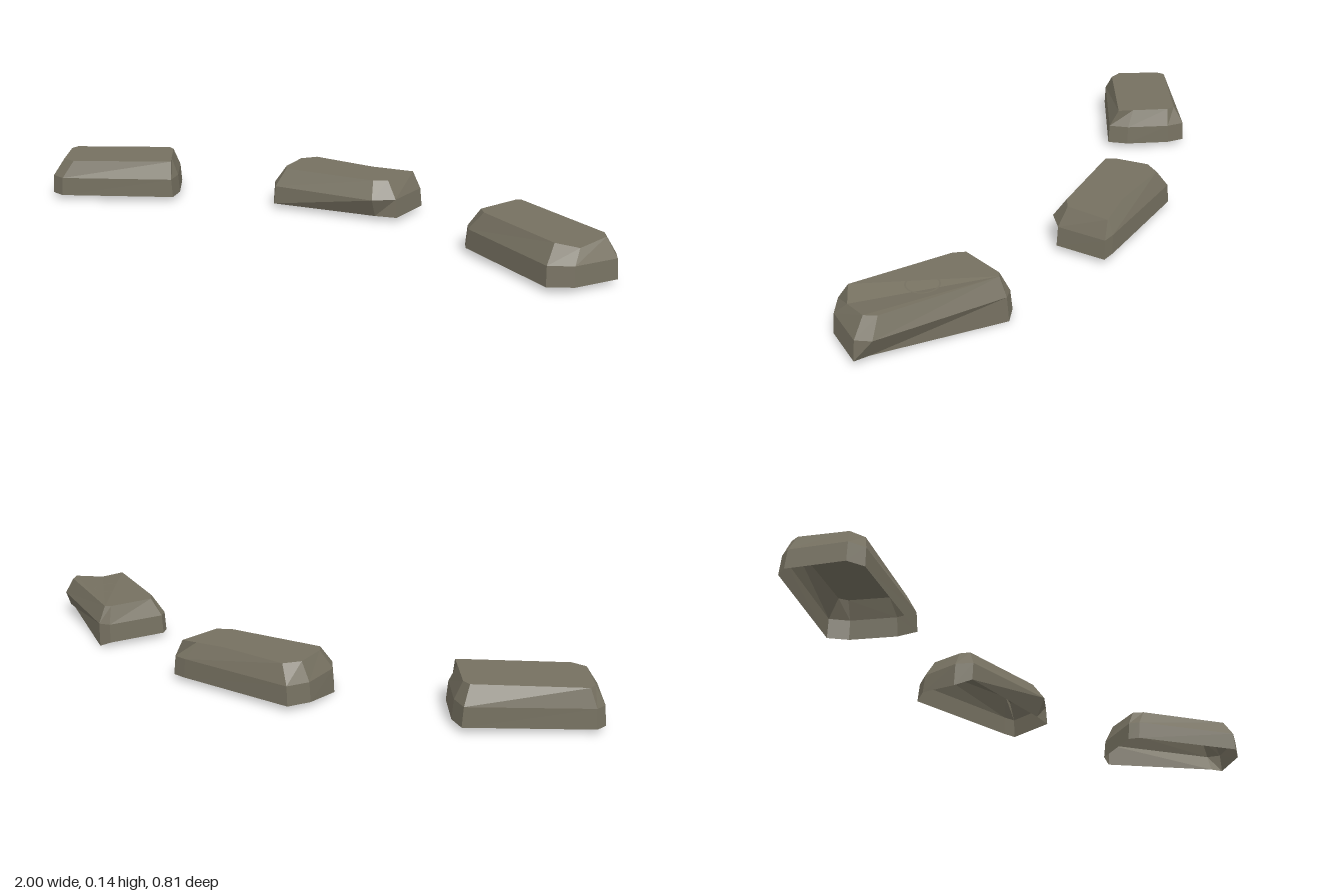
import * as THREE from 'three';

const stoneMaterial = new THREE.MeshStandardMaterial({
  color: 0x757060, flatShading: true, side: THREE.DoubleSide,
});
const BASE_Y = 0.016, MID_Y = 0.078, TOP_Y = 0.135;

// Each outline runs counter-clockwise seen from above: [x, z] or [x, z, y].
const stones = [
  {
    name: 'rightStone', mark: [-0.78, 0.165, 0.04], cross: false, fan: 0,
    foot: [[-1, 0.23], [-1, 0.27], [-0.88, 0.4], [-0.825, 0.4], [-0.53, 0.14], [-0.565, 0.08], [-0.675, -0.02], [-0.735, -0.045]],
    top: [[-0.97, 0.225], [-0.965, 0.255], [-0.86, 0.36], [-0.81, 0.355], [-0.56, 0.12], [-0.6, 0.085], [-0.695, 0], [-0.725, -0.005]],
    baseMoves: {},
  },
  {
    name: 'middleStone', mark: [-0.07, -0.235, 0.045], cross: true, fan: 0,
    foot: [[-0.31, -0.235], [-0.27, -0.1], [-0.225, -0.06], [0.13, -0.17], [0.18, -0.235], [0.15, -0.4], [0.105, -0.395], [-0.29, -0.31]],
    top: [[-0.27, -0.235], [-0.235, -0.13], [-0.21, -0.105], [0.1, -0.205], [0.135, -0.24], [0.12, -0.385], [0.08, -0.35], [-0.245, -0.29]],
    baseMoves: { 1: [-0.27, -0.1, 0], 3: [0.115, -0.2, BASE_Y] },
  },
  {
    name: 'leftStone', mark: [0.745, -0.25, 0.05], cross: false, fan: 6,
    foot: [[0.5, -0.19], [0.525, -0.16], [0.89, -0.055], [0.95, -0.11], [1, -0.255], [0.97, -0.295], [0.57, -0.405], [0.535, -0.385]],
    top: [[0.54, -0.21], [0.57, -0.185], [0.88, -0.1], [0.93, -0.155, 0.118], [0.955, -0.25], [0.93, -0.28], [0.575, -0.375], [0.56, -0.36]],
    baseMoves: { 5: [0.955, -0.265, BASE_Y], 6: [0.57, -0.405, 0] },
  },
];

// Open-bottomed shell: base, waist and top rings joined by facets, with a fanned cap
function stoneGeometry({ foot, top, baseMoves, fan }) {
  const n = foot.length;
  const cx = foot.reduce((s, p) => s + p[0], 0) / n;
  const cz = foot.reduce((s, p) => s + p[1], 0) / n;
  const base = foot.map((p, i) => baseMoves[i] ?? [p[0], p[1], BASE_Y]);
  const waist = foot.map(([x, z]) => [cx + (x - cx) * 0.975, cz + (z - cz) * 0.98, MID_Y]);
  const cap = top.map(([x, z, y = TOP_Y]) => [x, z, y]);

  const positions = [];
  for (const ring of [base, waist, cap]) {
    for (const [x, z, y] of ring) positions.push(x, y, z);
  }
  const index = [];
  for (let r = 0; r < 2; r++) {
    for (let i = 0; i < n; i++) {
      const a = r * n + i, b = r * n + (i + 1) % n;
      index.push(a, b, b + n, a, b + n, a + n);
    }
  }
  for (let k = 1; k < n - 1; k++) {
    index.push(2 * n + fan, 2 * n + (fan + k) % n, 2 * n + (fan + k + 1) % n);
  }
  const geometry = new THREE.BufferGeometry();
  geometry.setAttribute('position', new THREE.Float32BufferAttribute(positions, 3));
  geometry.setIndex(index);
  geometry.computeVertexNormals();
  return geometry;
}

// Shallow ring mark, optionally crossed, lying on the top face
function carvedMark([x, z, radius], cross) {
  const mark = new THREE.Group();
  mark.name = 'carvedMark';
  const ring = new THREE.Mesh(new THREE.RingGeometry(radius - 0.005, radius, 24), stoneMaterial);
  ring.name = 'markRing';
  ring.rotation.x = -Math.PI / 2;
  mark.add(ring);
  if (cross) {
    for (const turn of [0, Math.PI / 2]) {
      const bar = new THREE.Mesh(new THREE.PlaneGeometry(radius, 0.005), stoneMaterial);
      bar.name = 'markBar';
      bar.rotation.set(-Math.PI / 2, 0, turn);
      mark.add(bar);
    }
  }
  mark.position.set(x, TOP_Y + 0.001, z);
  return mark;
}

export function createModel() {
  const model = new THREE.Group();
  model.name = 'steppingStones';
  for (const spec of stones) {
    const stone = new THREE.Group();
    stone.name = spec.name;
    const shell = new THREE.Mesh(stoneGeometry(spec), stoneMaterial);
    shell.name = 'stoneShell';
    stone.add(shell, carvedMark(spec.mark, spec.cross));
    model.add(stone);
  }
  return model;
}
